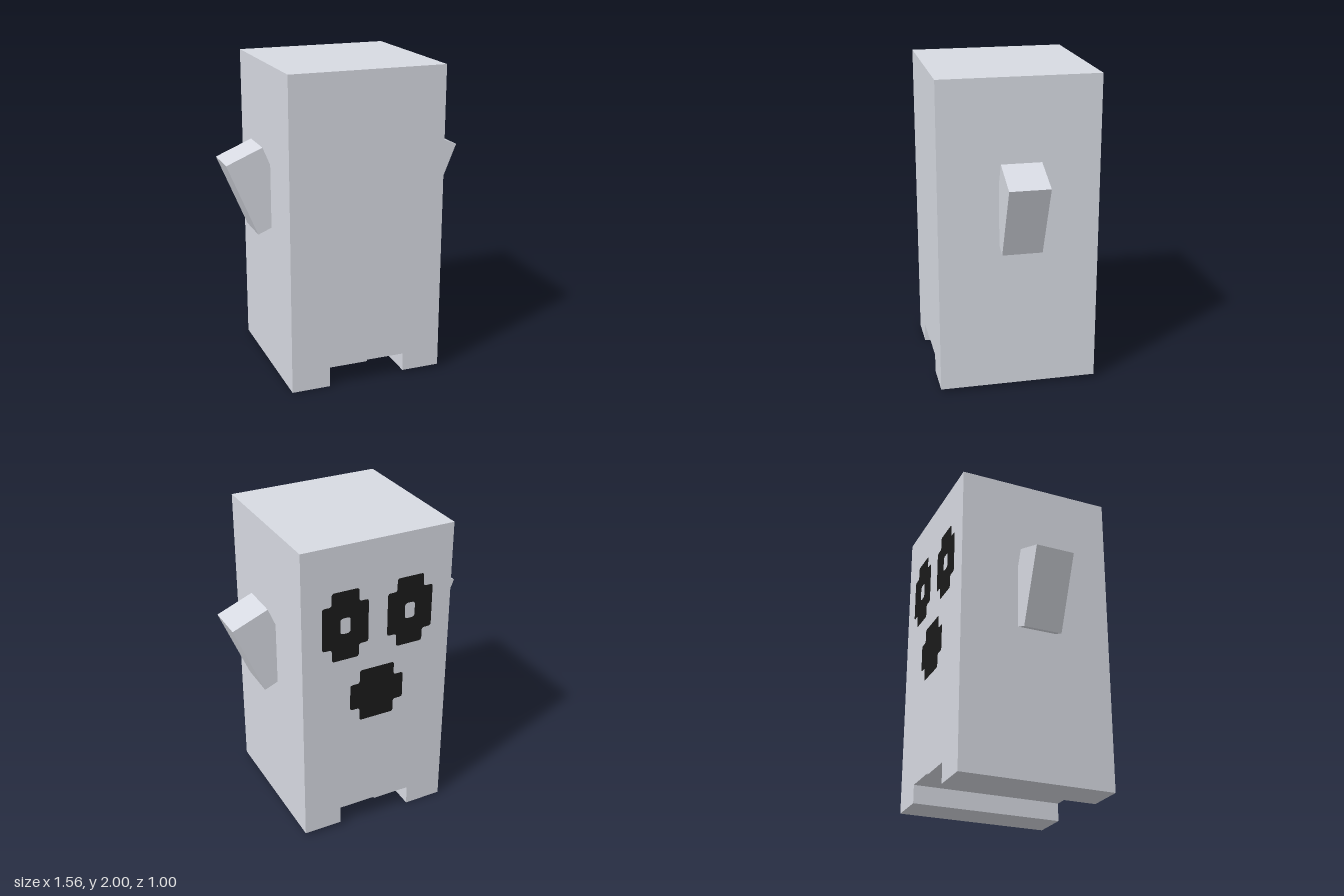
import * as THREE from 'three';

const grey = new THREE.MeshStandardMaterial({ color: 0xd7dae2 });
grey.name = 'bodyPaleGrey';
const black = new THREE.MeshStandardMaterial({ color: 0x1a1a1a });
black.name = 'faceBlack';

function mesh(name, geometry, material) {
  const m = new THREE.Mesh(geometry, material);
  m.name = name;
  return m;
}

// Trace a closed outline with softened corners onto a shape or path
function traceRounded(path, points, r) {
  const pts = points.map(([x, y]) => new THREE.Vector2(x, y));
  const n = pts.length;
  pts.forEach((p, i) => {
    const toward = (q) => p.clone().add(q.clone().sub(p).setLength(r));
    const a = toward(pts[(i + n - 1) % n]);
    const b = toward(pts[(i + 1) % n]);
    if (i === 0) path.moveTo(a.x, a.y);
    else path.lineTo(a.x, a.y);
    path.quadraticCurveTo(p.x, p.y, b.x, b.y);
  });
  path.closePath();
  return path;
}

// Plus-shaped patch: outer half size (w, h), column half width cw, side lobe half height ch
function crossPatch(name, w, h, cw, ch, hasHole) {
  const shape = traceRounded(new THREE.Shape(), [
    [cw, -h], [cw, -ch], [w, -ch], [w, ch], [cw, ch], [cw, h],
    [-cw, h], [-cw, ch], [-w, ch], [-w, -ch], [-cw, -ch], [-cw, -h],
  ], 0.018);
  if (hasHole) {
    const corners = [[-0.034, -0.052], [-0.034, 0.052], [0.034, 0.052], [0.034, -0.052]];
    shape.holes.push(traceRounded(new THREE.Path(), corners, 0.022));
  }
  return mesh(name, new THREE.ShapeGeometry(shape, 5), black);
}

export function createModel() {
  const model = new THREE.Group();
  model.name = 'blockCreature';

  // Body with two slightly uneven feet, running the full depth
  const outline = new THREE.Shape([
    [-0.5, 0], [-0.25, 0], [-0.25, 0.13], [0, 0.13], [0, 0.14],
    [0.25, 0.14], [0.25, 0.022], [0.5, 0.022], [0.5, 2], [-0.5, 2],
  ].map(([x, y]) => new THREE.Vector2(x, y)));
  const bodyGeometry = new THREE.ExtrudeGeometry(outline, { depth: 1, bevelEnabled: false });
  bodyGeometry.translate(0, 0, -0.5);
  model.add(mesh('body', bodyGeometry, grey));

  // Stubby arms leaning outwards at the top
  for (const side of [1, -1]) {
    const arm = mesh(side > 0 ? 'leftArm' : 'rightArm', new THREE.BoxGeometry(0.25, 0.5, 0.25), grey);
    arm.position.set(side * 0.567, 1.213, 0);
    arm.rotation.z = -side * THREE.MathUtils.degToRad(22.5);
    model.add(arm);
  }

  // Face painted on the rear side
  const face = new THREE.Group();
  face.name = 'face';
  face.position.z = -0.502;
  face.rotation.y = Math.PI;
  for (const side of [1, -1]) {
    const eye = crossPatch(side > 0 ? 'rightEye' : 'leftEye', 0.153, 0.228, 0.09, 0.142, true);
    eye.position.set(side * 0.217, 1.485, 0);
    face.add(eye);
  }
  const mouth = crossPatch('mouth', 0.183, 0.18, 0.118, 0.09, false);
  mouth.position.set(0, 0.97, 0);
  face.add(mouth);
  model.add(face);

  return model;
}
